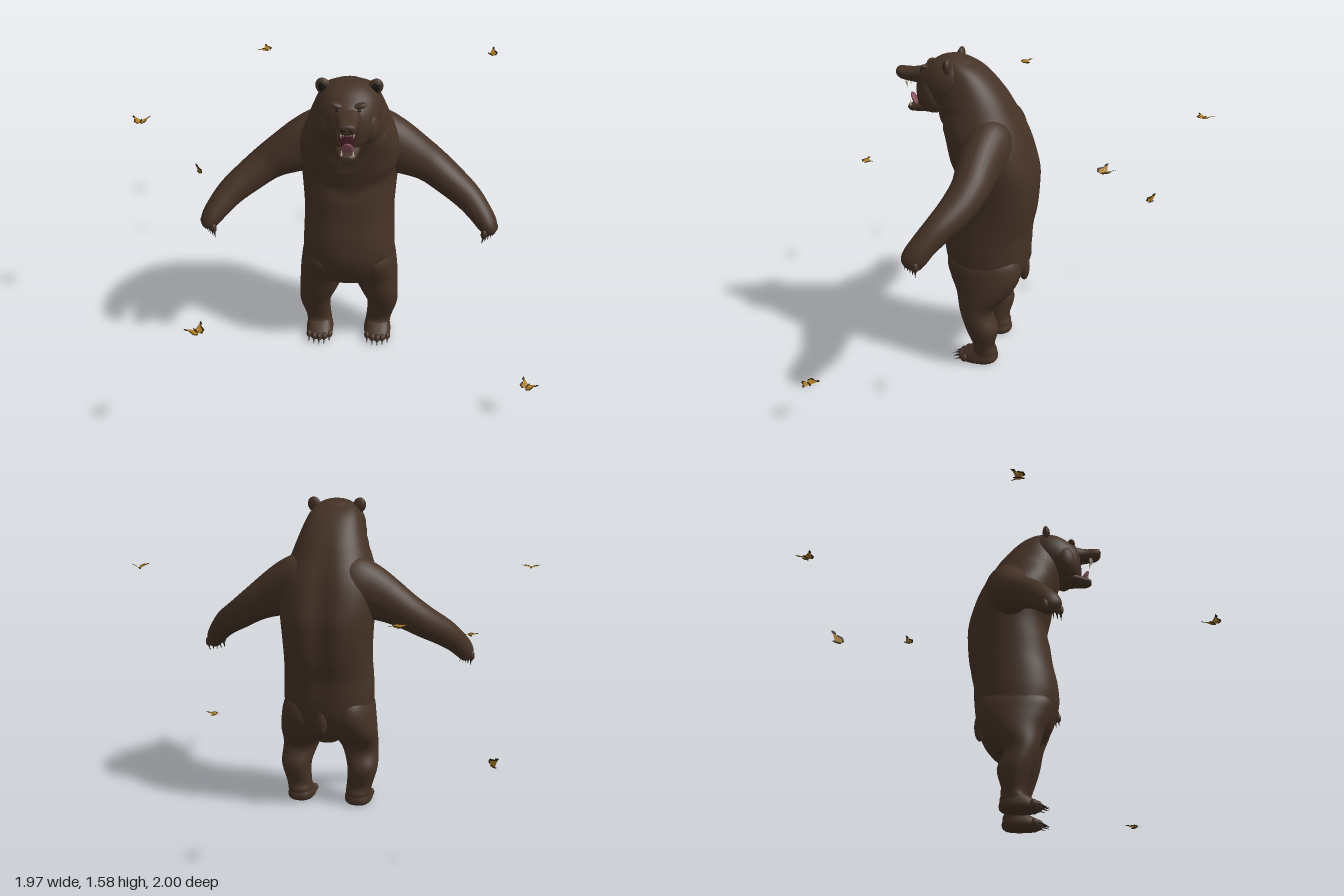
import * as THREE from 'three';

const mat = (name, color, side = THREE.FrontSide) => {
  const m = new THREE.MeshStandardMaterial({ color, side });
  m.name = name;
  return m;
};
const V = (x, y, z) => new THREE.Vector3(x, y, z);

// Smoothly resample rows of numbers, column by column.
function resample(rows, n) {
  const cr = (a, b, c, d, t) => 0.5 * (2 * b + (c - a) * t + (2 * a - 5 * b + 4 * c - d) * t * t + (3 * b - a - 3 * c + d) * t ** 3);
  const out = [];
  for (let i = 0; i <= n; i++) {
    const f = (i / n) * (rows.length - 1), k = Math.min(Math.floor(f), rows.length - 2);
    const at = j => rows[Math.max(0, Math.min(rows.length - 1, j))];
    out.push(rows[k].map((_, c) => cr(at(k - 1)[c], at(k)[c], at(k + 1)[c], at(k + 2)[c], f - k)));
  }
  return out;
}

// Skin over rings { c, u, v }, where u x v points along the loft.
function skin(rings, seg = 32, power = 1, deform = null) {
  const pos = [], idx = [], n = rings.length;
  const round = t => Math.sign(t) * Math.abs(t) ** power;
  for (const r of rings) for (let j = 0; j < seg; j++) {
    const a = (j / seg) * Math.PI * 2;
    const p = r.c.clone().addScaledVector(r.u, round(Math.cos(a))).addScaledVector(r.v, round(Math.sin(a)));
    if (deform) deform(p);
    pos.push(p.x, p.y, p.z);
  }
  for (let i = 0; i < n - 1; i++) for (let j = 0; j < seg; j++) {
    const k = (j + 1) % seg, a = i * seg + j, b = i * seg + k;
    idx.push(a, b, b + seg, a, b + seg, a + seg);
  }
  const first = rings[0].c, last = rings[n - 1].c, s = n * seg;
  pos.push(first.x, first.y, first.z, last.x, last.y, last.z);
  for (let j = 0; j < seg; j++) {
    const k = (j + 1) % seg;
    idx.push(s, k, j, s + 1, (n - 1) * seg + j, (n - 1) * seg + k);
  }
  const g = new THREE.BufferGeometry();
  g.setAttribute('position', new THREE.Float32BufferAttribute(pos, 3));
  g.setIndex(idx);
  g.computeVertexNormals();
  return g;
}

// Rows: y, x, halfWidth, zBack, zFront (rising in y).
const upright = (rows, n, power, deform) => skin(resample(rows, n).map(([y, x, w, b, f]) =>
  ({ c: V(x, y, (b + f) / 2), u: V(0, 0, (f - b) / 2), v: V(w, 0, 0) })), 48, power, deform);

// Rows: z, y, halfWidth, halfHeight (rising in z).
const forward = (rows, n, power) => skin(resample(rows, n).map(([z, y, w, h]) =>
  ({ c: V(0, y, z), u: V(w, 0, 0), v: V(0, h, 0) })), 32, power);

// Rows: x, y, z, radius in the arm's plane, radius in depth.
function limb(rows, n) {
  const r = resample(rows, n);
  const P = i => V(r[i][0], r[i][1], r[i][2]);
  return skin(r.map((q, i) => {
    const t = P(Math.min(i + 1, n)).sub(P(Math.max(i - 1, 0))).normalize();
    const u = V(0, 0, 1).addScaledVector(t, -t.z).normalize();
    const v = t.clone().cross(u);
    return { c: P(i), u: u.multiplyScalar(q[4]), v: v.multiplyScalar(q[3]) };
  }), 28);
}

export function createModel() {
  const fur = mat('fur', 0x453226), dark = mat('dark', 0x1d1613), claw = mat('claw', 0x2a221c);
  const mouth = mat('mouth', 0x4a2229), tongue = mat('tongue', 0x7e4a55), ivory = mat('ivory', 0xcfc5ac);
  const gold = mat('wing gold', 0xa87a22, THREE.DoubleSide), edge = mat('wing edge', 0x33250f, THREE.DoubleSide);

  const model = new THREE.Group(), bear = new THREE.Group();
  bear.name = 'bear';
  bear.position.x = 0.055;
  model.add(bear);
  const add = (parent, name, geo, m) => {
    const mesh = new THREE.Mesh(geo, m);
    mesh.name = name;
    parent.add(mesh);
    return mesh;
  };
  const ball = (name, m, p, s, parent = bear) => {
    const b = add(parent, name, new THREE.SphereGeometry(1, 18, 12), m);
    b.position.set(...p);
    b.scale.set(...s);
    return b;
  };
  const spike = (name, m, a, b, r) => {
    const d = b.clone().sub(a), c = add(bear, name, new THREE.ConeGeometry(r, d.length(), 8), m);
    c.position.copy(a).addScaledVector(d, 0.5);
    c.quaternion.setFromUnitVectors(V(0, 1, 0), d.normalize());
  };

  // Torso and neck, with a spine furrow and creases in the chest fur
  const bump = (t, w) => Math.exp(-((t / w) ** 2));
  add(bear, 'torso', upright([
    [0.35, 0, 0.06, -0.06, 0.1], [0.42, 0, 0.18, -0.12, 0.19], [0.5, 0, 0.225, -0.155, 0.235],
    [0.6, 0, 0.232, -0.17, 0.26], [0.7, 0, 0.228, -0.178, 0.255], [0.8, 0, 0.225, -0.2, 0.235],
    [0.9, 0, 0.23, -0.21, 0.222], [1.0, 0, 0.238, -0.21, 0.21], [1.1, 0, 0.25, -0.185, 0.23],
    [1.2, 0, 0.243, -0.15, 0.25], [1.3, 0, 0.205, -0.1, 0.28], [1.4, 0, 0.17, -0.04, 0.285],
    [1.5, 0, 0.13, 0.05, 0.26], [1.55, 0, 0.09, 0.13, 0.25], [1.57, 0, 0.03, 0.18, 0.22],
  ], 84, 0.88, p => {
    const ax = Math.abs(p.x);
    if (p.z < 0) p.z += 0.03 * bump(p.x, 0.05) * bump(p.y - 1.0, 0.3);
    if (p.z > 0.08) p.z -= 0.014 * bump(p.y - 1.13 - ax * 1.15, 0.022) + 0.008 * bump(p.y - 0.95 - ax * 0.5, 0.03);
  }), fur);
  ball('tail', fur, [0, 0.485, -0.14], [0.032, 0.075, 0.028]);

  for (const s of [1, -1]) {
    // Legs and feet
    add(bear, 'leg', upright([
      [0.02, 0.155, 0.062, -0.03, 0.1], [0.06, 0.157, 0.066, -0.032, 0.1], [0.1, 0.163, 0.067, -0.022, 0.085],
      [0.2, 0.178, 0.079, -0.045, 0.12], [0.3, 0.16, 0.095, -0.015, 0.155], [0.4, 0.135, 0.118, -0.105, 0.178],
      [0.48, 0.128, 0.117, -0.145, 0.21], [0.56, 0.12, 0.11, -0.14, 0.225], [0.64, 0.11, 0.07, -0.09, 0.17],
    ].map(([y, x, ...r]) => [y, x * s, ...r]), 40, 0.95), fur);
    add(bear, 'foot', upright([
      [0, 0.155, 0.06, -0.022, 0.145], [0.012, 0.155, 0.07, -0.035, 0.16],
      [0.035, 0.155, 0.07, -0.035, 0.155], [0.065, 0.157, 0.06, -0.02, 0.11], [0.08, 0.157, 0.05, 0, 0.08],
    ].map(([y, x, ...r]) => [y, x * s, ...r]), 12, 0.8), fur);
    for (let i = -2; i <= 2; i++) {
      const x = s * 0.155 + i * 0.027, z = 0.15 - 0.006 * i * i;
      ball('toe', fur, [x, 0.023, z], [0.016, 0.021, 0.022]);
      spike('toeClaw', claw, V(x, 0.025, z + 0.012), V(x, 0.008, z + 0.055), 0.007);
    }

    // Arms, paws and claws
    add(bear, 'arm', limb([
      [0.06, 1.15, 0, 0.15, 0.12], [0.13, 1.155, 0.005, 0.165, 0.125], [0.21, 1.135, 0.015, 0.143, 0.112],
      [0.3, 1.095, 0.025, 0.115, 0.1], [0.39, 1.045, 0.035, 0.092, 0.09], [0.48, 0.985, 0.07, 0.08, 0.083],
      [0.57, 0.925, 0.125, 0.07, 0.07], [0.63, 0.87, 0.175, 0.059, 0.062], [0.67, 0.82, 0.21, 0.05, 0.06],
      [0.685, 0.785, 0.228, 0.036, 0.048], [0.688, 0.77, 0.235, 0.012, 0.02],
    ].map(([x, ...r]) => [x * s, ...r]), 44), fur);
    for (let i = 0; i < 5; i++) {
      const k = i / 4, x = s * (0.714 - 0.06 * k), z = 0.195 + 0.07 * k;
      ball('finger', fur, [x, 0.79, z], [0.015, 0.025, 0.015]);
      spike('pawClaw', claw, V(x, 0.78, z), V(x - s * 0.008, 0.735, z + 0.004), 0.007);
    }

    // Ears, brows, eyes and cheeks
    const ear = ball('ear', fur, [s * 0.118, 1.542, 0.21], [0.034, 0.04, 0.018]);
    ear.rotation.z = -s * 0.35;
    ball('innerEar', dark, [s * 0.119, 1.543, 0.223], [0.02, 0.025, 0.008]).rotation.z = -s * 0.35;
    ball('brow', fur, [s * 0.05, 1.514, 0.345], [0.033, 0.014, 0.02]).rotation.z = s * 0.3;
    ball('eye', dark, [s * 0.047, 1.498, 0.361], [0.01, 0.007, 0.008]);
    ball('cheek', fur, [s * 0.085, 1.39, 0.3], [0.055, 0.085, 0.06]);
    ball('nostril', dark, [s * 0.016, 1.474, 0.499], [0.009, 0.007, 0.005]);

    // Teeth
    spike('upperFang', ivory, V(s * 0.028, 1.435, 0.447), V(s * 0.027, 1.4, 0.443), 0.007);
    spike('lowerFang', ivory, V(s * 0.026, 1.305, 0.43), V(s * 0.026, 1.345, 0.434), 0.006);
    for (let i = 0; i < 2; i++) {
      spike('frontTooth', ivory, V(s * (0.006 + i * 0.01), 1.432, 0.455), V(s * (0.006 + i * 0.01), 1.418, 0.455), 0.005);
    }
  }

  // Head, muzzle and open jaw
  add(bear, 'head', forward([
    [0.08, 1.43, 0.08, 0.08], [0.13, 1.435, 0.125, 0.12], [0.2, 1.44, 0.148, 0.137], [0.27, 1.432, 0.142, 0.136],
    [0.33, 1.412, 0.117, 0.123], [0.37, 1.405, 0.085, 0.102], [0.39, 1.395, 0.05, 0.07],
  ], 28, 0.95), fur);
  add(bear, 'muzzle', forward([
    [0.31, 1.465, 0.08, 0.055], [0.37, 1.464, 0.06, 0.043], [0.42, 1.464, 0.046, 0.035],
    [0.47, 1.468, 0.043, 0.031], [0.493, 1.474, 0.036, 0.024], [0.502, 1.475, 0.02, 0.014],
  ], 18, 0.85), fur);
  ball('nose', dark, [0, 1.478, 0.489], [0.03, 0.018, 0.013]);
  add(bear, 'jaw', forward([
    [0.29, 1.325, 0.08, 0.04], [0.35, 1.315, 0.06, 0.03], [0.4, 1.303, 0.047, 0.021],
    [0.43, 1.3, 0.037, 0.018], [0.447, 1.3, 0.02, 0.01],
  ], 16, 0.85), fur);
  ball('mouthInterior', mouth, [0, 1.375, 0.383], [0.043, 0.068, 0.014]);
  ball('tongue', tongue, [0, 1.33, 0.411], [0.029, 0.048, 0.012]).rotation.x = 0.5;

  // Butterflies: position, yaw, wing lift
  const flat = pts => new THREE.ShapeGeometry(new THREE.Shape(pts.map(p => new THREE.Vector2(...p)))).rotateX(-Math.PI / 2);
  const wingParts = [
    ['foreWing', [[0, -0.004], [0.03, 0.004], [0.034, 0.022], [0, 0.008]], gold],
    ['foreWingTip', [[0.03, 0.004], [0.044, 0.014], [0.046, 0.032], [0.034, 0.022]], edge],
    ['hindWing', [[0, -0.004], [0.005, -0.026], [0.022, -0.022], [0.027, 0.002]], gold],
    ['hindWingEdge', [[0.005, -0.026], [0.012, -0.035], [0.03, -0.026], [0.033, 0.003], [0.027, 0.002], [0.022, -0.022]], edge],
  ];
  const flyers = [
    [-0.46, 1.185, -0.96, 1.1, 0.2], [-0.845, 0.525, -0.685, 0.75, 1.5], [0.775, 1.325, -0.635, 0.6, 0.55],
    [-0.94, 1.275, 0.085, 0, 0.35], [0.93, 0.205, 0.68, -0.7, 0.3], [-0.58, 0.72, 0.945, 0.7, 0.3],
  ];
  for (const [x, y, z, yaw, lift] of flyers) {
    const fly = new THREE.Group();
    fly.name = 'butterfly';
    fly.position.set(x, y, z);
    fly.rotation.y = yaw;
    model.add(fly);
    ball('butterflyBody', edge, [0, 0, 0], [0.004, 0.004, 0.022], fly);
    for (const s of [1, -1]) for (const [name, pts, m] of wingParts) {
      const outline = pts.map(([a, b]) => [a * s, b]);
      add(fly, name, flat(outline), m).rotation.z = s * lift;
    }
  }
  return model;
}
